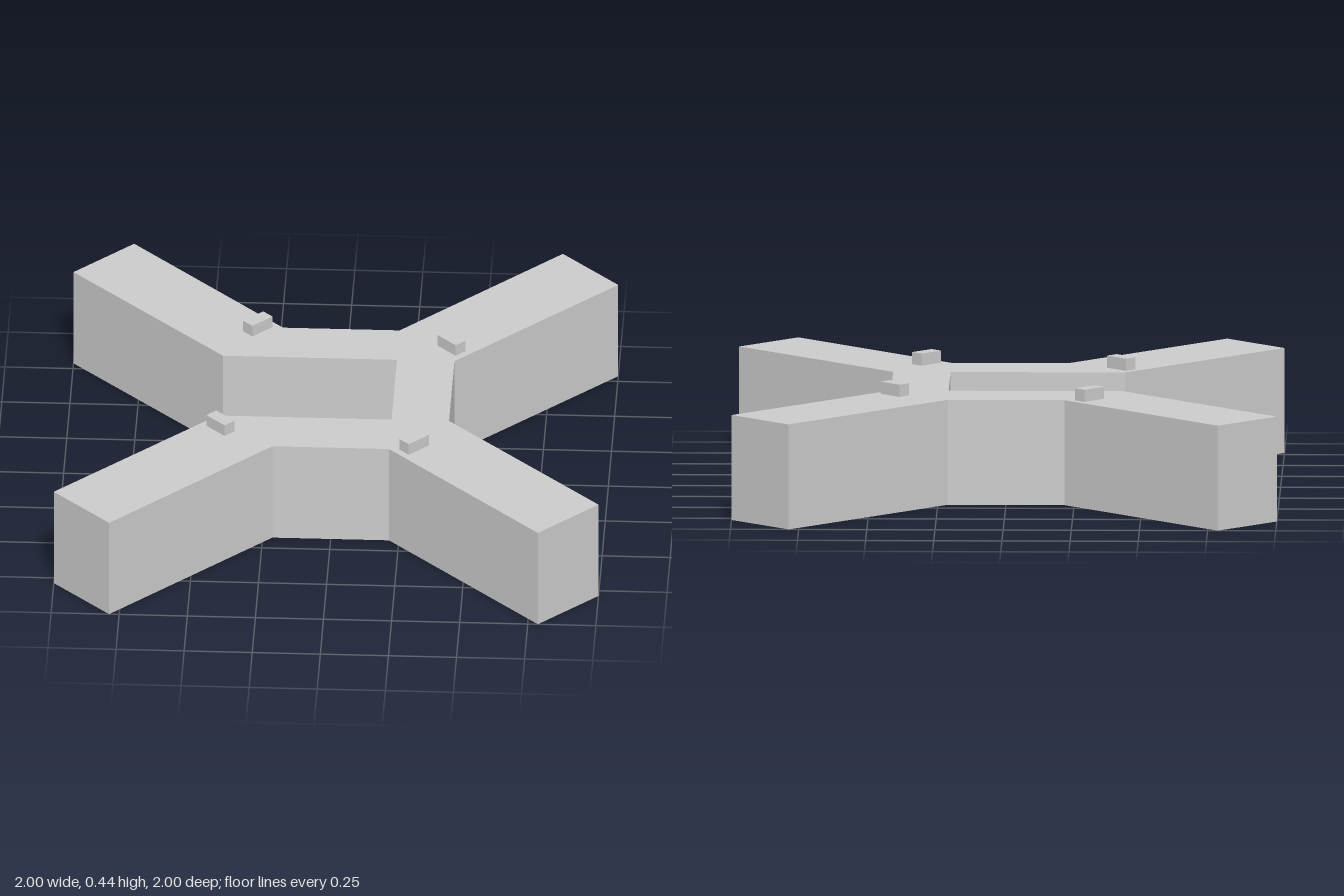
import * as THREE from 'three';

const material = new THREE.MeshStandardMaterial({ color: 0xcccccc, flatShading: true });

const HEIGHT = 0.39, FLOOR = 0.117; // overall body height and recess floor height

// Outline of the four-armed body, one quarter turned four times (shape y is -z).
function outline() {
  const quarter = [[0.425, 0.214], [1, 0.787], [0.787, 1], [0.214, 0.425]];
  const points = [];
  for (let i = 0; i < 4; i++) {
    for (const [x, y] of quarter) {
      points.push(new THREE.Vector2(x, y).rotateAround(new THREE.Vector2(), i * Math.PI / 2));
    }
  }
  return points;
}

function slab(name, points, bottom, top) {
  const geometry = new THREE.ExtrudeGeometry(new THREE.Shape(points), { depth: top - bottom, bevelEnabled: false });
  geometry.rotateX(-Math.PI / 2);
  geometry.translate(0, bottom, 0);
  const mesh = new THREE.Mesh(geometry, material);
  mesh.name = name;
  return mesh;
}

export function createModel() {
  const group = new THREE.Group();
  group.name = 'crossBase';

  // Lower slab, closing the bottom of the recess
  group.add(slab('floorSlab', outline(), 0, FLOOR));

  // Upper slab, with a rectangular recess open on the -x side
  const walls = outline();
  const notch = [new THREE.Vector2(0.214, 0.214), new THREE.Vector2(0.214, -0.214)];
  walls.splice(8, 0, ...notch); // between the two corners of the -x side
  group.add(slab('upperWalls', walls, FLOOR, HEIGHT));

  // Small pegs on top, one by the root of each arm
  const pegGeometry = new THREE.BoxGeometry(0.1, 0.045, 0.05);
  for (let i = 0; i < 4; i++) {
    const pivot = new THREE.Group();
    pivot.name = 'pegMount' + (i + 1);
    pivot.rotation.y = i * Math.PI / 2;
    const peg = new THREE.Mesh(pegGeometry, material);
    peg.name = 'peg';
    peg.position.set(0.41, HEIGHT + 0.0225, -0.306);
    peg.rotation.y = -Math.PI / 4;
    pivot.add(peg);
    group.add(pivot);
  }
  return group;
}
